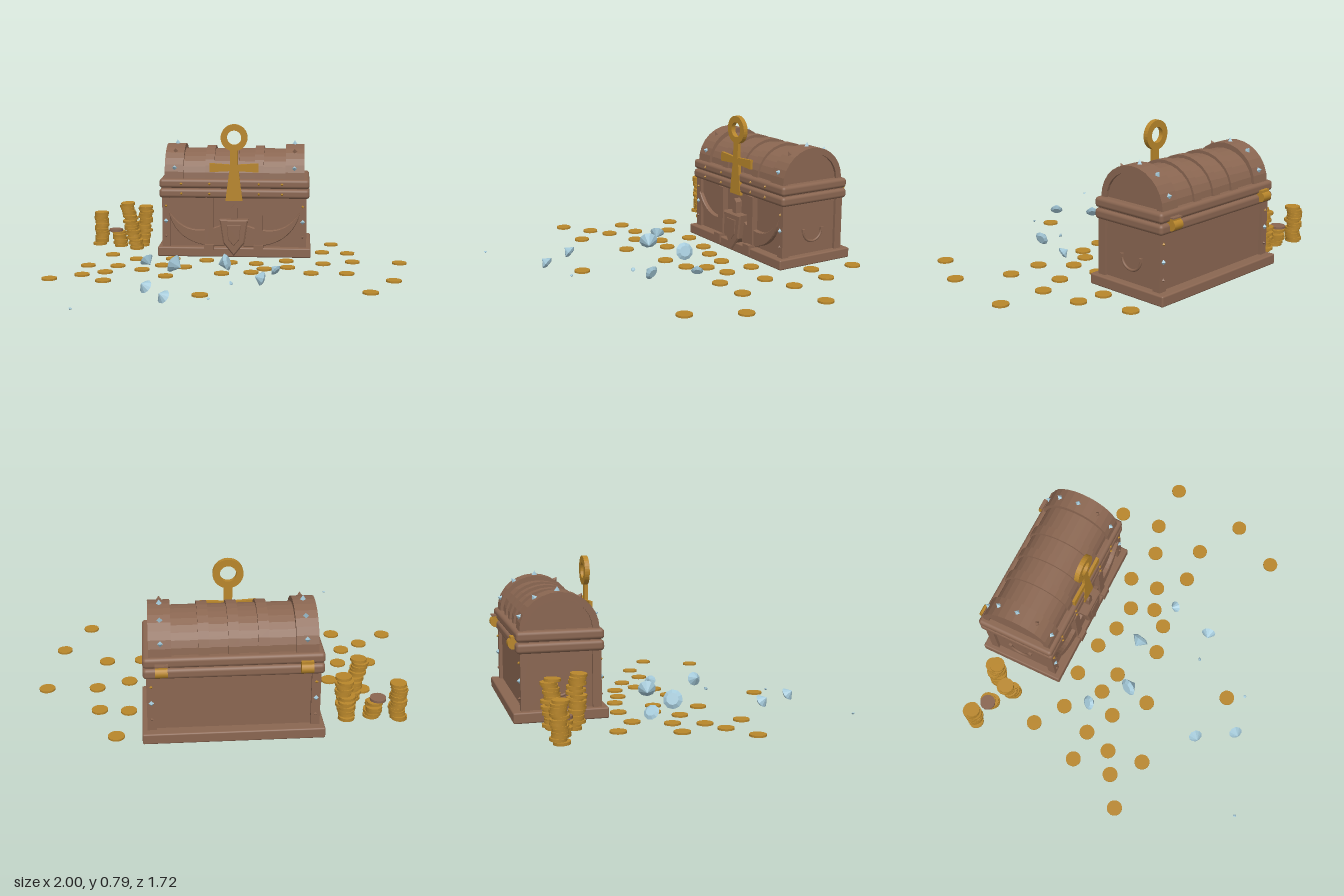
import * as THREE from 'three';
import { RoundedBoxGeometry } from 'three/addons/geometries/RoundedBoxGeometry.js';

const wood = new THREE.MeshStandardMaterial({ color: 0x8a6651 });
wood.name = 'brown wood';
const gold = new THREE.MeshStandardMaterial({ color: 0xb8862b });
gold.name = 'old gold';
const crystal = new THREE.MeshStandardMaterial({ color: 0xa3c8d8 });
crystal.name = 'pale blue crystal';

const CZ = -0.61; // chest centre in z
const LID_Y = 0.468;

let seed = 7;
const rand = () => (seed = (seed * 16807) % 2147483647) / 2147483647 - 0.5;

export function createModel() {
  const root = new THREE.Group();
  root.name = 'treasureChest';

  const add = (name, geo, mat, x = 0, y = 0, z = 0) => {
    const m = new THREE.Mesh(geo, mat);
    m.name = name;
    m.position.set(x, y, z);
    root.add(m);
    return m;
  };
  // box given by its limits
  const box = (name, x0, x1, y0, y1, z0, z1, mat = wood, round = 0) => {
    const s = [x1 - x0, y1 - y0, z1 - z0];
    const geo = round ? new RoundedBoxGeometry(...s, 3, round) : new THREE.BoxGeometry(...s);
    return add(name, geo, mat, (x0 + x1) / 2, (y0 + y1) / 2, (z0 + z1) / 2);
  };
  // flat front-facing plate cut from an outline
  const plate = (name, pts, z, depth, mat, bevel = 0) => add(name, new THREE.ExtrudeGeometry(
    new THREE.Shape(pts.map(p => new THREE.Vector2(...p))),
    { depth, bevelEnabled: bevel > 0, bevelSize: bevel, bevelThickness: bevel, bevelSegments: 1 }), mat, 0, 0, z);
  // half-round slab or hoop of the lid, running along x
  const arch = (name, x0, x1, rz, ry, wall = 0) => {
    const pts = [];
    const n = 14;
    for (let i = 0; i <= n; i++) {
      const a = Math.PI * i / n;
      pts.push(new THREE.Vector2(Math.cos(a) * rz, Math.sin(a) * ry));
    }
    if (wall) for (let i = n; i >= 0; i--) {
      const a = Math.PI * i / n;
      pts.push(new THREE.Vector2(Math.cos(a) * (rz - wall), Math.sin(a) * (ry - wall)));
    }
    const geo = new THREE.ExtrudeGeometry(new THREE.Shape(pts), { depth: x1 - x0, bevelEnabled: false });
    add(name, geo.rotateY(Math.PI / 2), wood, x0, LID_Y, CZ);
  };

  // chest body
  box('base', -0.45, 0.45, 0.012, 0.068, -0.855, -0.37, wood, 0.008);
  box('body', -0.408, 0.408, 0.06, 0.37, -0.795, -0.42);
  for (const sx of [-1, 1]) for (const z of [-0.79, -0.425])
    add('cornerPost', new THREE.BoxGeometry(0.045, 0.3, 0.045), wood, sx * 0.402, 0.215, z);
  box('bodyRim', -0.44, 0.44, 0.358, 0.412, -0.832, -0.388, wood, 0.018);
  box('lidRim', -0.44, 0.44, 0.416, 0.47, -0.832, -0.388, wood, 0.018);
  box('rimSeam', -0.425, 0.425, 0.4, 0.43, -0.815, -0.405);

  // rounded lid with hoops
  arch('lid', -0.395, 0.395, 0.185, 0.162);
  for (const x of [-0.145, 0, 0.145]) arch('lidStrap', x - 0.026, x + 0.026, 0.197, 0.178);
  for (const sx of [-1, 1]) arch('lidEndHoop', sx * 0.355 - 0.055, sx * 0.355 + 0.055, 0.202, 0.19, 0.035);

  // studs on the lid hoops
  for (const sx of [-1, 1]) for (const deg of [20, 55, 90, 125, 160]) {
    const a = THREE.MathUtils.degToRad(deg);
    const geo = new THREE.ConeGeometry(0.016, 0.024, 4).toNonIndexed();
    geo.computeVertexNormals();
    const stud = add('lidStud', geo, deg === 55 ? wood : crystal,
      sx * 0.352, LID_Y + Math.sin(a) * 0.2, CZ + Math.cos(a) * 0.21);
    stud.rotation.x = Math.PI / 2 - a;
  }

  // small studs on rims and corner posts
  const dot = (x, y, z, mat, r = 0.009) => add('stud', new THREE.OctahedronGeometry(r), mat, x, y, z);
  for (const x of [-0.31, -0.145, 0.145, 0.28]) for (const y of [0.385, 0.443]) dot(x, y, -0.386, gold);
  for (const sx of [-1, 1]) for (const z of [-0.4, -0.815]) {
    dot(sx * 0.402, 0.31, z, gold);
    dot(sx * 0.402, 0.22, z, crystal, 0.014);
    dot(sx * 0.402, 0.13, z, wood);
  }

  // straps and curved horns on the front
  for (const sx of [-1, 1]) {
    const x = sx * 0.145;
    box('frontStrap', x - 0.024, x + 0.024, 0.04, 0.36, -0.425, -0.385);
    box('strapFoot', x - 0.028, x + 0.028, 0.03, 0.085, -0.42, -0.36);
    const s = new THREE.Shape();
    s.moveTo(sx * 0.385, 0.275);
    s.quadraticCurveTo(sx * 0.28, 0.1, sx * 0.06, 0.2);
    s.lineTo(sx * 0.06, 0.075);
    s.quadraticCurveTo(sx * 0.33, 0.06, sx * 0.385, 0.275);
    add('frontHorn', new THREE.ExtrudeGeometry(s, { depth: 0.02, bevelEnabled: true, bevelSize: 0.004,
      bevelThickness: 0.006, bevelSegments: 1 }), wood, 0, 0, -0.422);

    // side handle
    const handle = add('sideHandle', new THREE.TorusGeometry(0.062, 0.007, 8, 20, Math.PI), wood,
      sx * 0.413, 0.197, -0.617);
    handle.rotation.set(Math.PI, Math.PI / 2, 0);
    for (const dz of [-0.062, 0.062])
      add('handleMount', new THREE.BoxGeometry(0.02, 0.018, 0.018), wood, sx * 0.411, 0.2, -0.617 + dz);

    // hinge at the back
    const hinge = add('hinge', new THREE.CylinderGeometry(0.027, 0.027, 0.06, 16), gold, sx * 0.35, 0.402, -0.838);
    hinge.rotation.z = Math.PI / 2;
    box('hingeLeaf', sx * 0.35 - 0.03, sx * 0.35 + 0.03, 0.395, 0.438, -0.85, -0.82, gold);
  }
  box('hingeCover', 0.318, 0.382, 0.436, 0.443, -0.856, -0.82);

  // lock shield with its hasp
  plate('lockShield', [[-0.075, 0.228], [-0.055, 0.1], [0, 0.03], [0.055, 0.1], [0.075, 0.228]], -0.415, 0.045, wood, 0.008);
  plate('lockBoss', [[-0.038, 0.2], [-0.03, 0.12], [0, 0.085], [0.03, 0.12], [0.038, 0.2]], -0.37, 0.008, wood, 0.003);
  plate('hasp', [[-0.018, 0.23], [0.018, 0.23], [0.018, 0.3], [0, 0.32], [-0.018, 0.3]], -0.42, 0.04, wood);

  // looped cross on the front
  const ring = new THREE.Shape().absarc(0, 0.715, 0.078, 0, Math.PI * 2);
  ring.holes.push(new THREE.Path().absarc(0, 0.715, 0.042, 0, Math.PI * 2));
  add('crossLoop', new THREE.ExtrudeGeometry(ring, { depth: 0.026, bevelEnabled: false, curveSegments: 16 }), gold, 0, 0, -0.41);
  plate('crossStem', [[-0.05, 0.345], [0.05, 0.345], [0.022, 0.56], [0.022, 0.65], [-0.022, 0.65], [-0.022, 0.56]], -0.402, 0.018, gold);
  plate('crossArms', [[-0.143, 0.513], [0, 0.522], [0.143, 0.513], [0.143, 0.566], [0, 0.557], [-0.143, 0.566]], -0.401, 0.016, gold);

  // coins scattered on the ground
  const coinGeo = new THREE.CylinderGeometry(0.042, 0.042, 0.01, 20);
  const coins = [
    [0.58, -0.77], [0.52, -0.53], [0.67, -0.51], [-0.72, -0.39], [-0.56, -0.28], [-0.35, -0.3], [-0.15, -0.27], [-0.01, -0.22],
    [0.14, -0.2], [0.31, -0.28], [0.52, -0.22], [0.69, -0.28], [0.957, -0.27], [-0.81, -0.095], [-0.64, -0.095], [-0.39, -0.125],
    [-0.26, -0.09], [0.19, -0.07], [0.32, -0.115], [-0.49, -0.01], [-0.685, 0.06], [-0.8, 0.13], [-0.34, 0.135], [-0.04, 0.055],
    [0.12, 0.02], [0.45, 0.02], [0.645, 0.015], [0.89, 0.165], [-0.957, 0.235], [-0.66, 0.26], [0.75, 0.43], [-0.115, 0.535]];
  for (const [x, z] of coins) add('coin', coinGeo, gold, x, 0.014, z);

  // leaning coin stacks: bottom x, z, top x, z, height
  const stackGeo = new THREE.CylinderGeometry(0.042, 0.042, 0.0145, 14);
  const stacks = [
    [-0.845, -0.7, -0.838, -0.7, 0.22], [-0.715, -0.665, -0.738, -0.662, 0.12],
    [-0.61, -0.58, -0.66, -0.578, 0.3], [-0.575, -0.685, -0.565, -0.69, 0.262]];
  stacks.forEach(([x0, z0, x1, z1, h], k) => {
    const n = Math.round(h / 0.0155);
    for (let i = 0; i < n; i++) {
      const t = i / (n - 1);
      const last = k === 1 && i === n - 1;
      const c = add('stackedCoin', stackGeo, last ? wood : gold, x0 + (x1 - x0) * t + rand() * 0.018,
        0.019 + t * (h - 0.028), z0 + (z1 - z0) * t + rand() * 0.026);
      c.rotation.set(rand() * 0.1, rand() * 3, rand() * 0.1);
    }
  });

  // faceted gems: x, z, radius, direction of the flat top
  const cut = [[0, -1], [1, 0], [0.62, 0.28], [0, 0.28]].map(p => new THREE.Vector2(...p));
  const gems = [
    [-0.487, -0.16, 0.042, -0.6, 0.6, -0.5], [-0.305, 0.005, 0.053, -0.8, 0.35, -0.4],
    [-0.032, -0.058, 0.05, 0.9, 0.3, 0.2], [0.257, 0.037, 0.033, 0.6, -0.5, 0.4],
    [0.18, 0.28, 0.04, 0.9, -0.3, -0.2], [0.027, 0.3, 0.012, 0.5, 0.5, 0.5],
    [-0.4, 0.468, 0.038, 0.5, -0.55, -0.5], [-0.283, 0.663, 0.037, 0.5, -0.55, -0.5],
    [-0.064, 0.625, 0.009, 0, 1, 0.4], [-0.71, 0.85, 0.009, 0.4, 1, 0]];
  const up = new THREE.Vector3(0, 1, 0);
  for (const [x, z, r, dx, dy, dz] of gems) {
    const geo = new THREE.LatheGeometry(cut, 10).toNonIndexed();
    geo.computeVertexNormals();
    geo.scale(r, r, r);
    geo.applyQuaternion(new THREE.Quaternion().setFromUnitVectors(up, new THREE.Vector3(dx, dy, dz).normalize()));
    geo.computeBoundingBox();
    const b = geo.boundingBox;
    geo.translate(-(b.min.x + b.max.x) / 2, -b.min.y, -(b.min.z + b.max.z) / 2);
    add('gem', geo, crystal, x, r > 0.02 ? 0.005 : 0.01, z);
  }
  return root;
}
